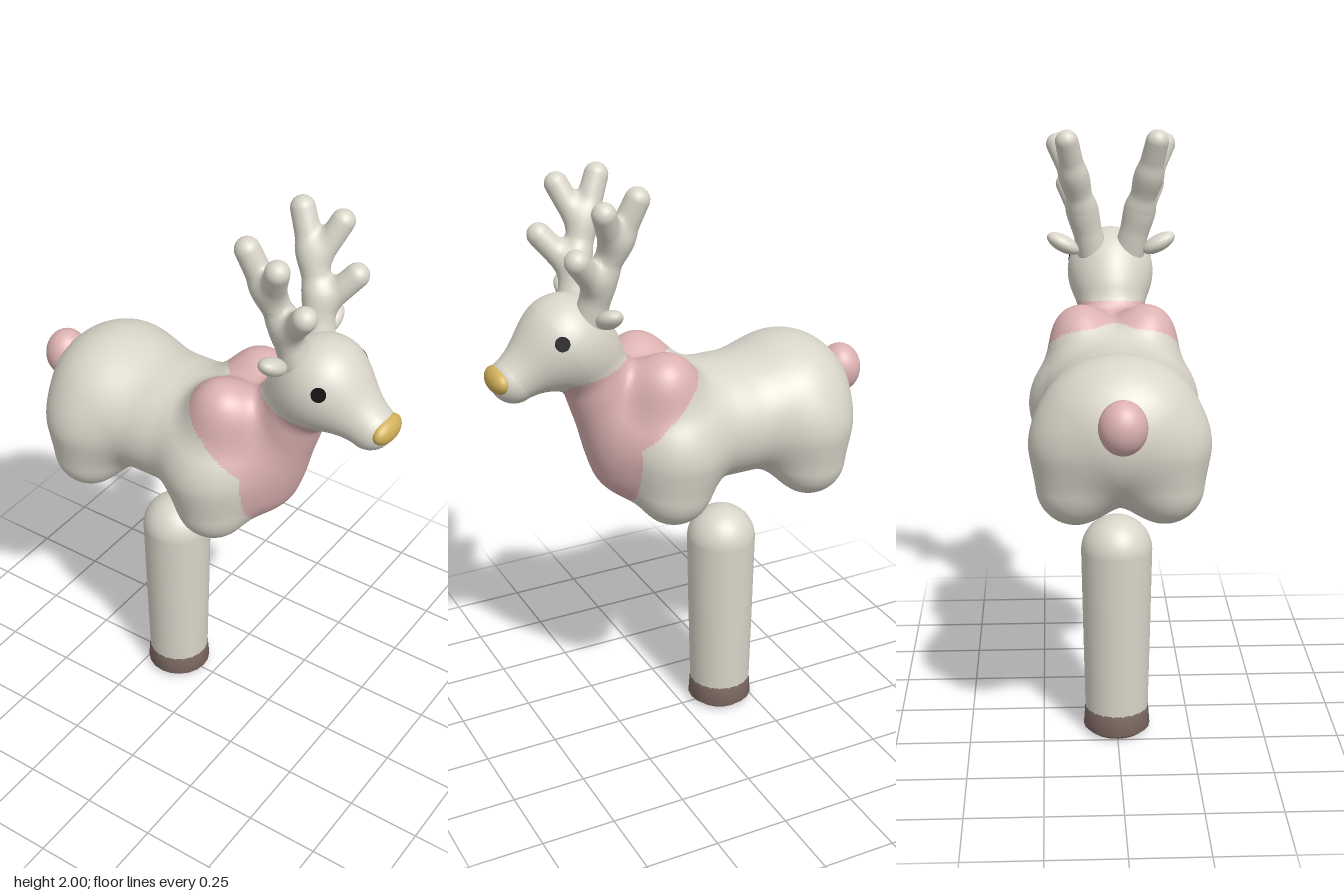
import * as THREE from 'three';

const material = (name, color) => Object.assign(new THREE.MeshStandardMaterial({ color }), { name });

// ---- soft shape helpers: signed distances that blend into each other ----
const smoothMin = (a, b, k) => {
  const h = Math.max(k - Math.abs(a - b), 0) / k;
  return Math.min(a, b) - h * h * k * 0.25;
};

const ellipsoid = (c, r) => (x, y, z) => {
  const dx = (x - c[0]) / r[0], dy = (y - c[1]) / r[1], dz = (z - c[2]) / r[2];
  const k0 = Math.hypot(dx, dy, dz), k1 = Math.hypot(dx / r[0], dy / r[1], dz / r[2]);
  return k1 < 1e-6 ? -Math.min(...r) : (k0 * (k0 - 1)) / k1;
};

// rounded limb from a to b, with a radius at each end and an optional z stretch
const limb = (a, b, ra, rb, stretch = 1) => {
  const d = [b[0] - a[0], b[1] - a[1], b[2] - a[2]];
  const len2 = d[0] * d[0] + d[1] * d[1] + d[2] * d[2];
  return (x, y, z) => {
    const px = x - a[0], py = y - a[1], pz = z / stretch - a[2];
    const t = Math.min(1, Math.max(0, (px * d[0] + py * d[1] + pz * d[2]) / len2));
    return Math.hypot(px - d[0] * t, py - d[1] * t, pz - d[2] * t) - (ra + (rb - ra) * t);
  };
};

// blended field, mirrored left and right
const blend = (k, parts) => (x, y, z) => {
  const side = Math.sqrt(z * z + 0.0002);
  let d = parts[0](x, y, side);
  for (let i = 1; i < parts.length; i++) d = smoothMin(d, parts[i](x, y, side), k);
  return d;
};

const gradient = (f, x, y, z, e = 0.004) => new THREE.Vector3(
  f(x + e, y, z) - f(x - e, y, z),
  f(x, y + e, z) - f(x, y - e, z),
  f(x, y, z + e) - f(x, y, z - e)).normalize();

// skin a field with a quad net; region(x, y, z) picks the material group
function skin(f, min, max, h, region = () => 0) {
  const n = min.map((m, i) => Math.ceil((max[i] - m) / h) + 1);
  const stride = [1, n[0], n[0] * n[1]];
  const value = new Float32Array(n[0] * n[1] * n[2]);
  const vertexOf = new Int32Array(value.length).fill(-1);
  const each = (from, trim, visit) => {
    for (let k = from; k < n[2] - trim; k++)
      for (let j = from; j < n[1] - trim; j++)
        for (let i = from; i < n[0] - trim; i++) visit(i, j, k, i + j * stride[1] + k * stride[2]);
  };
  each(0, 0, (i, j, k, id) => { value[id] = f(min[0] + i * h, min[1] + j * h, min[2] + k * h); });

  // one vertex in every cell that the surface crosses
  const position = [], normal = [];
  const corner = (id, c) => value[id + (c & 1) + (c >> 1 & 1) * stride[1] + (c >> 2) * stride[2]];
  each(0, 1, (i, j, k, id) => {
    const sum = [0, 0, 0];
    let hits = 0;
    for (let c = 0; c < 8; c++) {
      for (let axis = 0; axis < 3; axis++) {
        if (c >> axis & 1) continue;
        const a = corner(id, c), b = corner(id, c | 1 << axis);
        if ((a < 0) === (b < 0)) continue;
        for (let q = 0; q < 3; q++) sum[q] += q === axis ? a / (a - b) : c >> q & 1;
        hits++;
      }
    }
    if (!hits) return;
    const p = new THREE.Vector3(...sum.map((s, q) => min[q] + ([i, j, k][q] + s / hits) * h));
    p.addScaledVector(gradient(f, p.x, p.y, p.z), -0.8 * f(p.x, p.y, p.z));
    vertexOf[id] = position.length / 3;
    position.push(p.x, p.y, p.z);
    normal.push(...gradient(f, p.x, p.y, p.z).toArray());
  });

  // one quad around every grid edge that the surface crosses
  const groups = [[], []];
  const addTriangle = (...t) => {
    const mid = [0, 1, 2].map(q => (position[t[0] * 3 + q] + position[t[1] * 3 + q] + position[t[2] * 3 + q]) / 3);
    groups[region(...mid)].push(...t);
  };
  each(1, 1, (i, j, k, id) => {
    for (let axis = 0; axis < 3; axis++) {
      const inside = value[id] < 0;
      if (inside === (value[id + stride[axis]] < 0)) continue;
      const sb = stride[(axis + 1) % 3], sc = stride[(axis + 2) % 3];
      const quad = [id, id - sb, id - sb - sc, id - sc].map(c => vertexOf[c]);
      if (!inside) quad.reverse();
      addTriangle(quad[0], quad[1], quad[2]);
      addTriangle(quad[0], quad[2], quad[3]);
    }
  });

  const geometry = new THREE.BufferGeometry();
  geometry.setAttribute('position', new THREE.Float32BufferAttribute(position, 3));
  geometry.setAttribute('normal', new THREE.Float32BufferAttribute(normal, 3));
  geometry.setIndex(groups[0].concat(groups[1]));
  geometry.addGroup(0, groups[0].length, 0);
  geometry.addGroup(groups[0].length, groups[1].length, 1);
  return geometry;
}

export function createModel() {
  const cream = material('cream', 0xd9d5c9);
  const pink = material('pink', 0xdcb1b1);
  const gold = material('gold', 0xd2b15c);
  const brown = material('brown', 0x7f6a63);
  const black = material('black', 0x0c0c0c);

  const model = new THREE.Group();
  model.name = 'deer';
  const add = (name, geometry, mat, x = 0, y = 0, z = 0) => {
    const mesh = new THREE.Mesh(geometry, mat);
    mesh.name = name;
    mesh.position.set(x, y, z);
    model.add(mesh);
    return mesh;
  };

  // body, neck and head in one soft skin
  const bodyField = blend(0.075, [
    limb([-0.36, 1.13, 0], [0.1, 1.13, 0], 0.205, 0.205, 1.14),         // barrel
    ellipsoid([-0.39, 1.15, 0], [0.21, 0.223, 0.255]),                  // rump
    ellipsoid([0.08, 1.13, 0], [0.19, 0.215, 0.255]),                   // shoulders
    limb([-0.41, 1.08, 0.15], [-0.41, 0.968, 0.14], 0.125, 0.125),      // rear leg stubs
    limb([0.09, 1.08, 0.15], [0.1, 0.968, 0.14], 0.125, 0.125),         // front leg stubs
    limb([0.19, 1.05, 0], [0.335, 1.42, 0], 0.135, 0.113),              // chest and neck
    ellipsoid([0.115, 1.32, 0.11], [0.105, 0.108, 0.1]),                // collar lobes
    ellipsoid([0.41, 1.5, 0], [0.138, 0.14, 0.138]),                    // skull
    limb([0.43, 1.485, 0], [0.588, 1.392, 0], 0.115, 0.077, 1.06),      // muzzle
  ]);
  // collar bib: below the throat, in front of the shoulders, rounded at the bottom
  const bib = (x, y, z) => {
    const back = 0.24 - Math.max(0, y - 1.15) * 1.08 + 0.07 * Math.exp(-((z / 0.05) ** 2)) * (y > 1.25 ? 1 : 0);
    return y < 1.47 - 0.23 * x && y > 0.915 + 1.6 * z * z && x > back && x < 0.44 ? 1 : 0;
  };
  add('body', skin(bodyField, [-0.7, 0.8, -0.36], [0.74, 1.7, 0.36], 0.01, bib), [cream, pink]);

  // branching antlers
  const antlerField = blend(0.03, [
    limb([0.355, 1.56, 0.065], [0.325, 1.72, 0.1], 0.052, 0.046),
    limb([0.325, 1.72, 0.1], [0.275, 1.84, 0.128], 0.046, 0.042),
    limb([0.275, 1.84, 0.128], [0.225, 1.96, 0.152], 0.042, 0.039),
    limb([0.295, 1.81, 0.122], [0.348, 1.938, 0.183], 0.038, 0.038),
    limb([0.335, 1.68, 0.095], [0.425, 1.793, 0.15], 0.04, 0.039),
  ]);
  add('antlers', skin(antlerField, [0.15, 1.48, -0.26], [0.5, 2.03, 0.26], 0.009), [cream, cream]);

  // tail and nose
  add('tail', new THREE.SphereGeometry(1, 32, 20), pink, -0.61, 1.21, 0).scale.set(0.07, 0.085, 0.075);
  add('nose', new THREE.SphereGeometry(1, 32, 20), gold, 0.641, 1.4, 0).scale.set(0.035, 0.043, 0.07);

  // ears and eyes on both sides
  for (const side of [1, -1]) {
    const name = side > 0 ? 'left' : 'right';
    const ear = add(name + 'Ear', new THREE.SphereGeometry(1, 24, 16), cream, 0.33, 1.6, 0.165 * side);
    ear.scale.set(0.04, 0.029, 0.062);
    ear.rotation.x = -0.5 * side;

    let z = 0.2;
    while (bodyField(0.472, 1.533, z) > 0) z -= 0.001;
    const eye = add(name + 'Eye', new THREE.CylinderGeometry(0.023, 0.024, 0.008, 20), black, 0.472, 1.533, z * side);
    const out = gradient(bodyField, 0.472, 1.533, z * side);
    eye.quaternion.setFromUnitVectors(new THREE.Vector3(0, 1, 0), out);
  }

  // single post leg with a domed top, and its hoof
  const post = [new THREE.Vector2(0.107, 0.085), new THREE.Vector2(0.113, 0.35)];
  for (let i = 0; i <= 12; i++) {
    const a = (i / 12) * Math.PI / 2;
    post.push(new THREE.Vector2(0.119 * Math.cos(a), 0.655 + 0.118 * Math.sin(a)));
  }
  add('leg', new THREE.LatheGeometry(post, 40), cream, -0.152, 0, 0);
  const hoof = [[0, 0], [0.092, 0], [0.092, 0], [0.113, 0.018], [0.108, 0.088], [0.1, 0.089]];
  add('hoof', new THREE.LatheGeometry(hoof.map(p => new THREE.Vector2(...p)), 20), brown, -0.152, 0, 0);

  return model;
}
